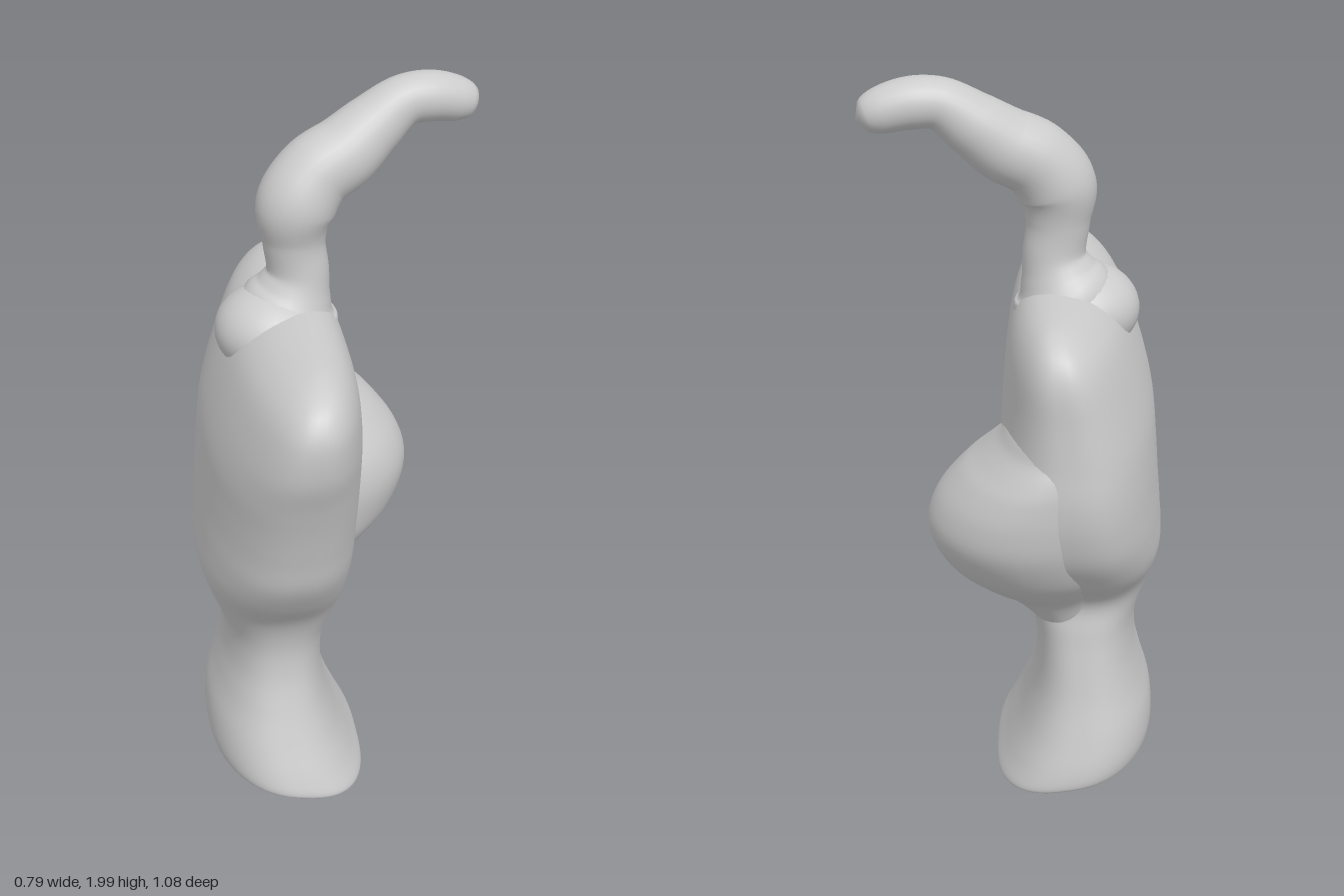
import * as THREE from 'three';
import { mergeVertices } from 'three/addons/utils/BufferGeometryUtils.js';

const V = (x, y, z) => new THREE.Vector3(x, y, z);
const material = new THREE.MeshStandardMaterial({ color: 0xcccccc });

function part(name, geometry) {
  const mesh = new THREE.Mesh(geometry, material);
  mesh.name = name;
  return mesh;
}

// Smooth loft through rounded sections [y, xMin, xMax, zMin, zMax], bottom to top.
// Each section is a superellipse with its own power on the +x and -x halves.
function loft(sections, palmPower, backPower, steps, shape = () => {}) {
  const mids = sections.map(([y, a, b, c, d]) => V((a + b) / 2, y, (c + d) / 2));
  const halves = sections.map(([, a, b, c, d]) => V((b - a) / 2, 0, (d - c) / 2));
  const midCurve = new THREE.CatmullRomCurve3(mids, false, 'catmullrom', 0.5);
  const halfCurve = new THREE.CatmullRomCurve3(halves, false, 'catmullrom', 0.5);
  const rows = (sections.length - 1) * steps, sides = 64;
  const positions = [], index = [];
  for (let i = 0; i <= rows; i++) {
    const m = midCurve.getPoint(i / rows), h = halfCurve.getPoint(i / rows);
    for (let j = 0; j < sides; j++) {
      const a = j / sides * Math.PI * 2, c = Math.cos(a), s = Math.sin(a);
      const e = 2 / (c > 0 ? palmPower : backPower);
      const p = V(
        m.x + h.x * Math.sign(c) * Math.abs(c) ** e, m.y,
        m.z + h.z * Math.sign(s) * Math.abs(s) ** e);
      shape(p);
      positions.push(p.x, p.y, p.z);
      if (i === rows) continue;
      const k = i * sides + j, n = i * sides + (j + 1) % sides;
      index.push(k, k + sides, n, n, k + sides, n + sides);
    }
  }
  const g = new THREE.BufferGeometry();
  g.setAttribute('position', new THREE.Float32BufferAttribute(positions, 3));
  g.setIndex(index);
  g.computeVertexNormals();
  return g;
}

// Tube whose radius varies along the path; points are [x, y, z, radius].
function taperedTube(points) {
  const path = new THREE.CatmullRomCurve3(points.map(p => V(p[0], p[1], p[2])));
  const radii = new THREE.SplineCurve(points.map((p, i) => new THREE.Vector2(i, p[3])));
  const rows = 90, sides = 28;
  const g = new THREE.TubeGeometry(path, rows, 1, sides);
  const pos = g.attributes.position, v = V(0, 0, 0);
  for (let i = 0; i <= rows; i++) {
    const center = path.getPointAt(i / rows);
    const r = Math.max(0.001, radii.getPoint(path.getUtoTmapping(i / rows)).y);
    for (let j = 0; j <= sides; j++) {
      const k = i * (sides + 1) + j;
      v.fromBufferAttribute(pos, k).sub(center).multiplyScalar(r).add(center);
      pos.setXYZ(k, v.x, v.y, v.z);
    }
  }
  g.deleteAttribute('uv');
  g.deleteAttribute('normal');
  const welded = mergeVertices(g, 1e-5);
  welded.computeVertexNormals();
  return welded;
}

export function createModel() {
  const group = new THREE.Group();
  group.name = 'pointingHand';

  // The wrist is cut at a slant that fades out upward
  const slant = p => { p.y -= ((p.x + 0.165) * 0.21 + 0.008) * Math.max(0, 1 - p.y / 0.45); };

  // The palm swells toward the thumb root so the two blend at the back
  const fistShape = p => {
    slant(p);
    const swell = Math.exp(-(((p.y - 0.84) / 0.16) ** 2) - ((p.z + 0.38) / 0.16) ** 2);
    p.x += 0.1 * swell * THREE.MathUtils.smoothstep(p.x, -0.25, 0.03);
  };

  // Wrist flaring into the broad closed fist
  group.add(part('wristAndFist', loft([
    [0.055, -0.36, 0.045, -0.345, 0.30],
    [0.07, -0.378, 0.05, -0.362, 0.318],
    [0.12, -0.385, 0.02, -0.36, 0.305],
    [0.2, -0.378, -0.02, -0.342, 0.275],
    [0.3, -0.352, -0.052, -0.318, 0.24],
    [0.4, -0.333, -0.062, -0.302, 0.215],
    [0.5, -0.335, -0.05, -0.29, 0.215],
    [0.6, -0.37, -0.01, -0.29, 0.25],
    [0.7, -0.397, 0.012, -0.39, 0.33],
    [0.8, -0.393, 0.022, -0.475, 0.395],
    [0.9, -0.385, 0.028, -0.515, 0.425],
    [1.0, -0.378, 0.032, -0.53, 0.455],
    [1.1, -0.368, 0.032, -0.526, 0.49],
    [1.2, -0.342, 0.028, -0.522, 0.527],
    [1.3, -0.305, 0.018, -0.52, 0.538],
    [1.36, -0.272, 0.002, -0.505, 0.52],
    [1.4, -0.23, -0.022, -0.475, 0.48],
    [1.424, -0.185, -0.052, -0.43, 0.415],
    [1.435, -0.14, -0.085, -0.35, 0.32],
    [1.437, -0.112, -0.1115, -0.15, 0.04],
  ], 2.7, 2.25, 5, fistShape)));

  // Slightly domed underside of the wrist
  group.add(part('wristBase', loft([
    [0.028, -0.16, -0.159, -0.025, -0.024],
    [0.036, -0.27, -0.05, -0.2, 0.16],
    [0.055, -0.36, 0.045, -0.345, 0.30],
  ], 2.7, 2.25, 4, slant)));

  // Folded thumb bulging from the palm
  group.add(part('thumb', loft([
    [0.44, -0.22, -0.1, -0.25, -0.04],
    [0.52, -0.24, -0.05, -0.27, -0.025],
    [0.6, -0.25, 0.036, -0.315, -0.01],
    [0.66, -0.26, 0.118, -0.385, 0.005],
    [0.73, -0.28, 0.185, -0.455, 0.015],
    [0.83, -0.28, 0.222, -0.515, 0.025],
    [0.92, -0.28, 0.2, -0.535, 0.02],
    [1.0, -0.27, 0.14, -0.537, -0.01],
    [1.05, -0.26, 0.085, -0.53, -0.04],
    [1.1, -0.25, 0.035, -0.512, -0.08],
    [1.16, -0.22, -0.01, -0.48, -0.14],
    [1.2, -0.12, -0.1, -0.3, -0.28],
  ], 1.85, 2.1, 5)));

  // Knuckle sloping up behind the raised finger
  const knuckle = part('knuckle', new THREE.SphereGeometry(1, 36, 24));
  knuckle.scale.set(0.15, 0.12, 0.155);
  knuckle.position.set(-0.176, 1.355, -0.04);
  group.add(knuckle);

  // Raised, crooked finger with a flared root
  group.add(part('raisedFinger', taperedTube([
    [-0.135, 1.34, -0.06, 0.14],
    [-0.128, 1.41, -0.06, 0.13],
    [-0.112, 1.46, -0.06, 0.1],
    [-0.102, 1.51, -0.06, 0.083],
    [-0.111, 1.6, -0.06, 0.083],
    [-0.106, 1.69, -0.06, 0.104],
    [-0.055, 1.767, -0.078, 0.1],
    [0.025, 1.813, -0.098, 0.096],
    [0.1, 1.87, -0.12, 0.083],
    [0.185, 1.928, -0.138, 0.067],
    [0.26, 1.932, -0.152, 0.066],
    [0.335, 1.914, -0.165, 0.058],
    [0.372, 1.9, -0.17, 0.04],
    [0.39, 1.893, -0.172, 0.001],
  ])));

  return group;
}
